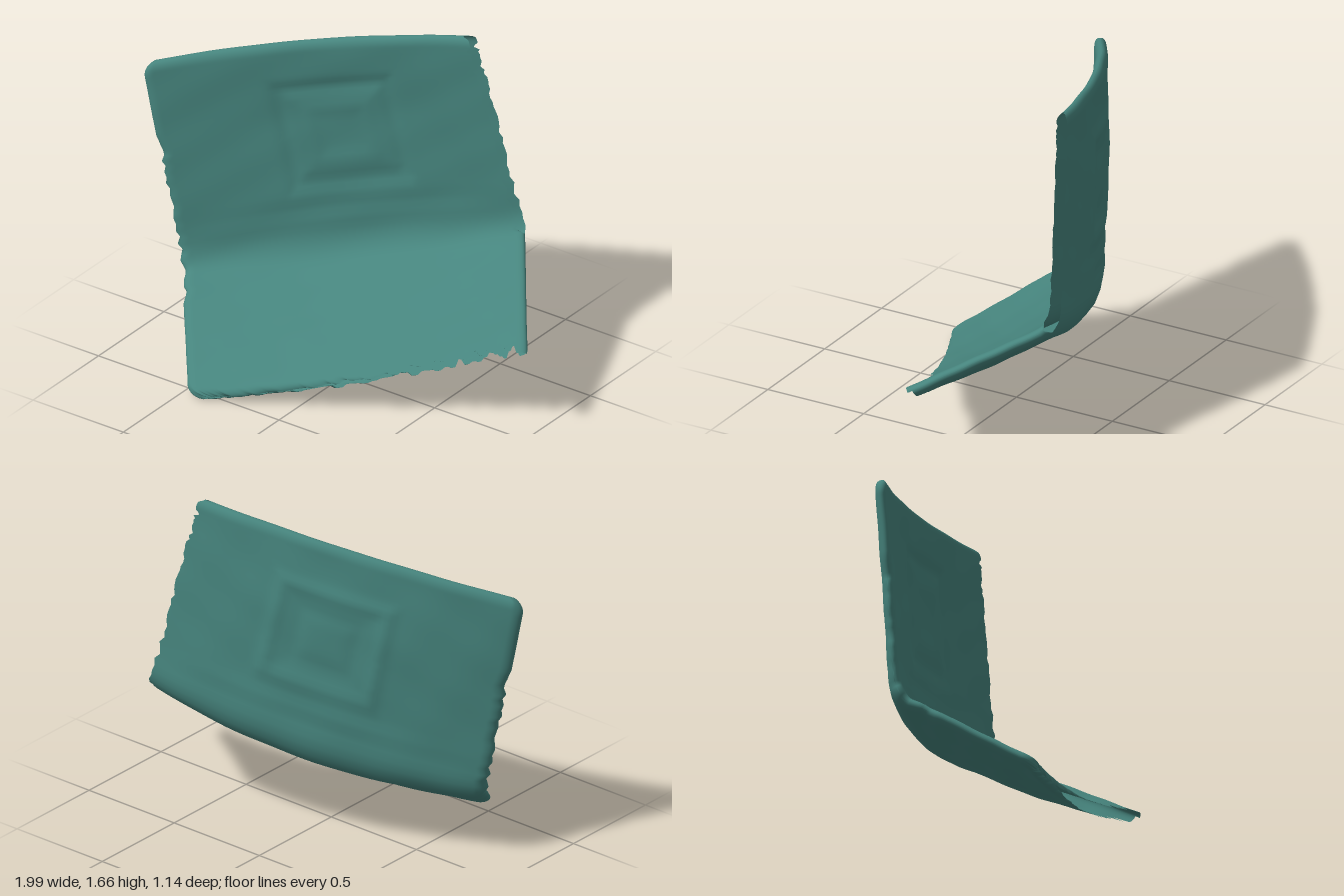
import * as THREE from 'three';
import { mergeVertices } from 'three/addons/utils/BufferGeometryUtils.js';

const V = (x, y, z) => new THREE.Vector3(x, y, z);
const { lerp, smoothstep } = THREE.MathUtils;
const NU = 120, NS = 100;

// Ends of the top edge, fold and front edge
const rows = [
  [V(-1.0, 1.375, 0.16), V(0.39, 1.685, -0.465)],
  [V(-0.825, 0.38, 0.1), V(0.605, 0.74, -0.55)],
  [V(-0.43, 0.025, 0.59), V(1.0, 0.45, -0.025)],
];
const backNormal = V(-0.41, -0.03, -0.91);
const seatNormal = V(0, -0.84, -0.55);

const noise = (k) => {
  const n = Math.sin(k * 127.1 + 3.7) * 43758.5453;
  return n - Math.floor(n);
};
const along = (r, u) => rows[r][0].clone().lerp(rows[r][1], u);
const ring = (d, at, width) => Math.exp(-(((d - at) / width) ** 2));

// How far a rounded corner of radius r pulls in the side at distance d from the end
const cornerInset = (d, r, w) => (d >= r ? 0 : w * (1 - Math.sqrt(1 - ((r - d) / r) ** 2)));

// Point on the unbowed sheet: s runs 0..1 down the back, 1..2 along the seat
function spine(u, s) {
  const r = 0.1;
  const leg = (t) => (t < 1 ? along(0, u).lerp(along(1, u), t) : along(1, u).lerp(along(2, u), t - 1));
  if (Math.abs(s - 1) >= r) return leg(s);
  const t = (s - 1 + r) / (2 * r);
  return leg(1 - r).lerp(leg(1), t).lerp(leg(1).lerp(leg(1 + r), t), t);
}

function sheetPoint(i, j, side) {
  const u0 = (1 - Math.cos((Math.PI * i) / NU)) / 2;
  const s0 = 1 - Math.cos((Math.PI * j) / NS);
  const onBack = s0 < 1.05;

  // Rounded corners and ragged sides; one layer ends before the other
  const left = cornerInset(s0, 0.07, 0.05) + cornerInset(2 - s0, 0.1, 0.05) + 0.012 * noise(j) * (s0 > 0.35 && s0 < 1.3);
  const right = cornerInset(s0, 0.03, 0.02) + (onBack ? 0.02 * noise(j + 200) * noise(j + 330) + (side < 0 ? 0.015 : 0) : 0);
  const u = lerp(left, 1 - right, u0);
  const arch = 4 * u * (1 - u);

  // Torn front edge, shorter underneath; top edge slightly arched
  const torn = smoothstep(u0, 0.2, 0.9);
  const tear = (0.015 + 0.075 * torn) * noise(Math.floor(i / 2) + 400 + side * 50) * (u0 < 0.97) + (side > 0 ? 0.03 * torn : 0);
  const s = s0 - tear * (s0 / 2) ** 12 - 0.016 * arch * (1 - s0 / 2) ** 4;

  // Outward direction, turning through the fold
  const w = smoothstep(s, 0.88, 1.12);
  const n = backNormal.clone().lerp(seatNormal, w).multiplyScalar(1 + 1.24 * w * (1 - w));

  // Bow across the width, strongest around the fold
  const bow = 0.09 - 0.022 * (1 - smoothstep(s, 0, 0.4)) - 0.03 * smoothstep(s, 1.5, 2);
  let offset = bow * arch;

  // Pressed panel outline, lower crease and slight unevenness
  const d = Math.max(Math.abs(u - 0.53) / 0.16, Math.abs(s - 0.46) / 0.24);
  offset += 0.01 * ring(d, 1, 0.14) - 0.005 * ring(d, 0.55, 0.15);
  offset += 0.006 * ring(s, 0.83, 0.035) * Math.sin(Math.PI * u);
  offset += 0.002 * Math.sin(u * 23 + s * 9) * Math.sin(s * 17 - u * 6);

  // Thickness closes at the top, left and seat side rims and along the untorn front corner
  const rightRim = onBack ? 1 : 1 - u0;
  const edge = Math.min(u0, rightRim, s0 / 1.5, (2 - s0) / 1.5 + 0.03 * torn, 0.03) / 0.03;
  offset += side * 0.028 * Math.sqrt(Math.max(0, 1 - (1 - edge) ** 2));
  return spine(u, s).addScaledVector(n, offset);
}

export function createModel() {
  const teal = new THREE.MeshStandardMaterial({ color: 0x46847d, side: THREE.DoubleSide });
  teal.name = 'teal';

  // Inner and outer layers, joined where they meet at the rim
  const positions = [], index = [];
  for (const side of [-1, 1]) {
    const base = positions.length / 3;
    for (let j = 0; j <= NS; j++)
      for (let i = 0; i <= NU; i++) positions.push(...sheetPoint(i, j, side).toArray());
    for (let j = 0; j < NS; j++)
      for (let i = 0; i < NU; i++) {
        const a = base + j * (NU + 1) + i, b = a + 1, c = a + NU + 1, d = c + 1;
        if (side > 0) index.push(a, b, c, b, d, c);
        else index.push(a, c, b, b, c, d);
      }
  }
  let geometry = new THREE.BufferGeometry();
  geometry.setAttribute('position', new THREE.Float32BufferAttribute(positions, 3));
  geometry.setIndex(index);
  geometry = mergeVertices(geometry, 1e-5);
  geometry.computeVertexNormals();

  // Stand on the ground, centred
  geometry.computeBoundingBox();
  const box = geometry.boundingBox, mid = box.getCenter(V(0, 0, 0));
  geometry.translate(-mid.x, -box.min.y, -mid.z);

  const sheet = new THREE.Mesh(geometry, teal);
  sheet.name = 'foldedSeatShell';
  const group = new THREE.Group();
  group.name = 'seatShell';
  group.add(sheet);
  return group;
}
